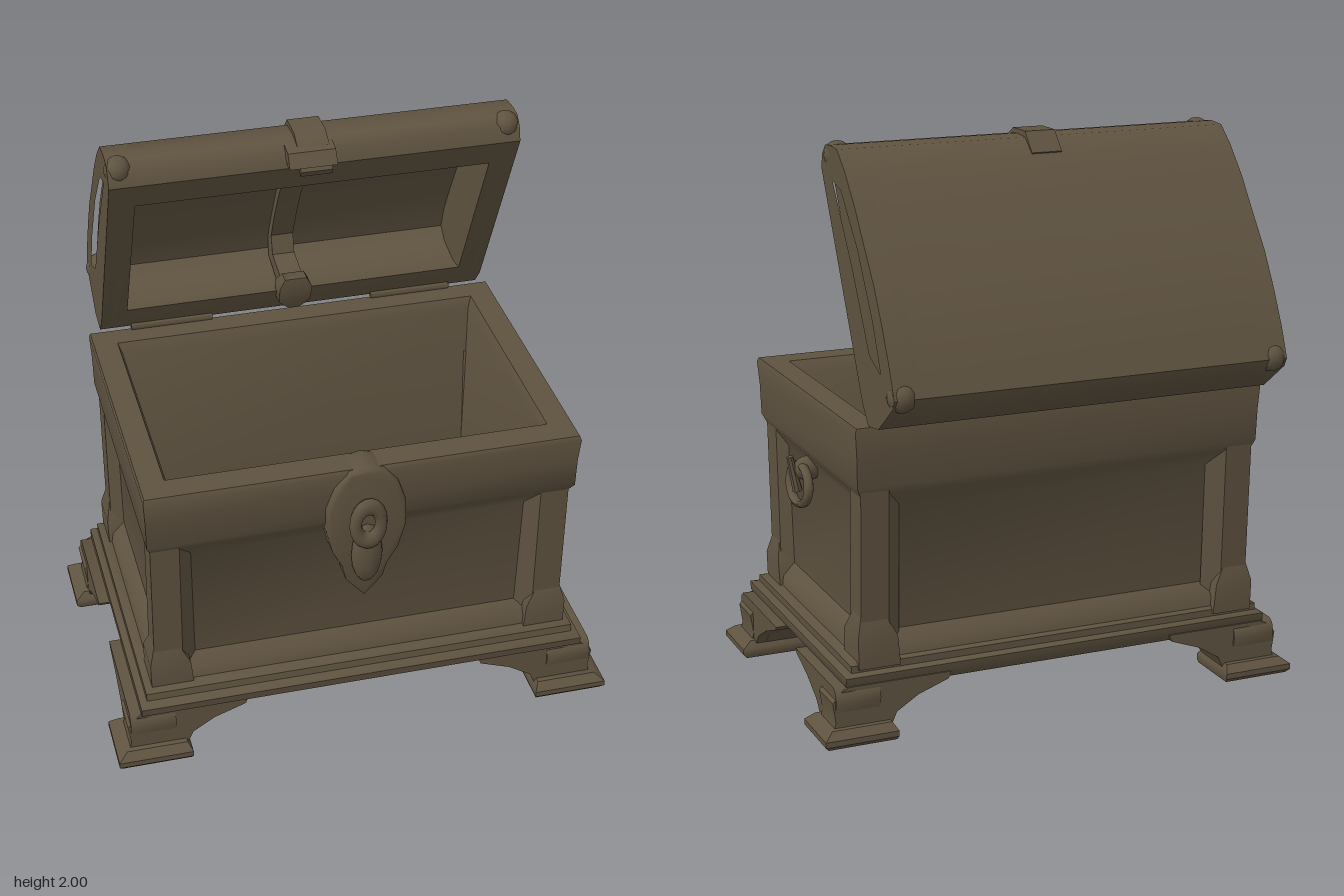
import * as THREE from 'three';
import { toCreasedNormals } from 'three/addons/utils/BufferGeometryUtils.js';

const wood = new THREE.MeshStandardMaterial({ color: 0x5f5340 });
wood.name = 'agedBrown';

function add(group, name, geo, crease = 0.7) {
  const mesh = new THREE.Mesh(toCreasedNormals(geo, crease), wood);
  mesh.name = name;
  group.add(mesh);
  return mesh;
}

// Stack of rectangular rings [x0, x1, z0, z1, y], closed at both ends
function loft(rings) {
  const pos = [], idx = [], n = rings.length;
  for (const [x0, x1, z0, z1, y] of rings) pos.push(x0, y, z1, x1, y, z1, x1, y, z0, x0, y, z0);
  for (let i = 0; i < n - 1; i++) {
    for (let j = 0; j < 4; j++) {
      const a = i * 4 + j, b = i * 4 + (j + 1) % 4;
      idx.push(a, b, b + 4, a, b + 4, a + 4);
    }
  }
  const t = (n - 1) * 4;
  idx.push(0, 2, 1, 0, 3, 2, t, t + 1, t + 2, t, t + 2, t + 3);
  const geo = new THREE.BufferGeometry();
  geo.setAttribute('position', new THREE.Float32BufferAttribute(pos, 3));
  geo.setIndex(idx);
  return geo;
}

// Outline extruded along an axis: 'x' takes [z, y], 'y' takes [x, z], 'z' takes [x, y]
function prism(axis, points, from, to, hole) {
  const conv = (p) => new THREE.Vector2(
    axis === 'x' ? -p[0] : p[0], axis === 'y' ? -p[1] : p[1]);
  const shape = new THREE.Shape(points.map(conv));
  if (hole) shape.holes.push(new THREE.Path(hole.map(conv)));
  const geo = new THREE.ExtrudeGeometry(shape, { depth: to - from, bevelEnabled: false });
  geo.translate(0, 0, from);
  if (axis === 'x') geo.rotateY(Math.PI / 2);
  if (axis === 'y') geo.rotateX(-Math.PI / 2);
  return geo;
}

const ring = (hx, zb, zf, y) => [-hx, hx, zb, zf, y];
const MID = 0.09; // depth of the chest's centre line

function makeBody() {
  const g = new THREE.Group();
  g.name = 'chestBody';
  // Recessed walls, swelling rim and hollow interior
  add(g, 'wallsAndRim', loft([
    ring(0.69, -0.33, 0.52, 0.24), ring(0.695, -0.36, 0.55, 0.8),
    ring(0.735, -0.41, 0.595, 0.86), ring(0.748, -0.42, 0.617, 0.89),
    ring(0.75, -0.425, 0.622, 1.0), ring(0.755, -0.43, 0.632, 1.085), ring(0.75, -0.427, 0.625, 1.1),
    ring(0.665, -0.34, 0.53, 1.1), ring(0.65, -0.32, 0.5, 1.06), ring(0.63, -0.29, 0.48, 0.28),
  ]));
  // Corner posts with sloping inner edges
  for (const sx of [1, -1]) {
    for (const sz of [1, -1]) {
      const post = [[0.735, 0.48], [0.735, 0.375], [0.685, 0.35], [0.6, 0.4], [0.58, 0.43], [0.635, 0.48]];
      const geo = prism('y', post.map(([x, z]) => [sx * x, sz * z]), 0.26, 0.88);
      const p = geo.attributes.position;
      for (let i = 0; i < p.count; i++) { // walls lean out towards the rim
        const lean = (p.getY(i) - 0.26) * 0.04;
        p.setZ(i, p.getZ(i) + MID + sz * lean);
      }
      add(g, 'cornerPost', geo);
      // Swollen foot of the post
      const zz = (a, b) => sz > 0 ? [MID + a, MID + b] : [MID - b, MID - a];
      const xx = (a, b) => sx > 0 ? [a, b] : [-b, -a];
      add(g, 'postFoot', loft([
        [...xx(0.6, 0.75), ...zz(0.35, 0.5), 0.25],
        [...xx(0.61, 0.752), ...zz(0.36, 0.502), 0.36],
        [...xx(0.65, 0.735), ...zz(0.4, 0.482), 0.43],
      ]));
    }
  }
  // Sloping rail below the panels
  add(g, 'bottomRail', loft([
    ring(0.745, -0.39, 0.58, 0.25), ring(0.735, -0.38, 0.57, 0.31), ring(0.685, -0.33, 0.52, 0.36),
  ]));
  return g;
}

function makeBase() {
  const g = new THREE.Group();
  g.name = 'base';
  add(g, 'baseMoulding', loft([
    ring(0.78, -0.4, 0.62, 0.175), ring(0.8, -0.415, 0.65, 0.2), ring(0.8, -0.42, 0.655, 0.23),
    ring(0.775, -0.4, 0.62, 0.24), ring(0.775, -0.4, 0.615, 0.265), ring(0.75, -0.385, 0.585, 0.275),
  ]));
  // Bracket feet: one curved arm along each side, joined over a square pad
  const armX = [[0.42, 0.2], [0.43, 0.175], [0.54, 0.135], [0.62, 0.085], [0.64, 0.04],
    [0.85, 0.04], [0.84, 0.08], [0.85, 0.15], [0.82, 0.185], [0.79, 0.2]];
  const armZ = [[0.12, 0.2], [0.13, 0.185], [0.24, 0.145], [0.34, 0.09], [0.38, 0.04],
    [0.55, 0.04], [0.53, 0.08], [0.55, 0.15], [0.54, 0.185], [0.52, 0.2]];
  for (const sx of [1, -1]) {
    for (const sz of [1, -1]) {
      const foot = new THREE.Group();
      foot.name = 'bracketFoot';
      const c = sz > 0 ? 0.1 : 0.12;
      const Z = (a, b) => sz > 0 ? [c + a, c + b] : [c - b, c - a];
      const X = (a, b) => sx > 0 ? [a, b] : [-b, -a];
      add(foot, 'frontArm', prism('z', armX.map(([x, y]) => [sx * x, y]), ...Z(0.4, 0.54)));
      add(foot, 'sideArm', prism('x', armZ.map(([z, y]) => [c + sz * z, y]), ...X(0.68, 0.84)));
      add(foot, 'innerCorner', loft([
        [...X(0.64, 0.8), ...Z(0.38, 0.5), 0.04], [...X(0.62, 0.8), ...Z(0.33, 0.5), 0.1],
        [...X(0.55, 0.8), ...Z(0.25, 0.5), 0.19],
      ]));
      add(foot, 'footPad', loft([
        [...X(0.635, 0.88), ...Z(0.365, 0.575), 0], [...X(0.63, 0.893), ...Z(0.36, 0.588), 0.015],
        [...X(0.63, 0.893), ...Z(0.36, 0.588), 0.035], [...X(0.645, 0.86), ...Z(0.38, 0.56), 0.06],
      ]));
      g.add(foot);
    }
  }
  return g;
}

function makeLid() {
  const g = new THREE.Group();
  g.name = 'openLid';
  // Domed section, from the front lip over the back to the hinge, as [z, y]
  const outer = [[-0.02, 1.9], [-0.035, 1.95], [-0.065, 1.98], [-0.11, 1.985], [-0.18, 1.98],
    [-0.25, 1.92], [-0.34, 1.82], [-0.42, 1.71], [-0.51, 1.59], [-0.58, 1.47], [-0.64, 1.35],
    [-0.68, 1.25], [-0.665, 1.22], [-0.53, 1.12], [-0.436, 1.107], [-0.385, 1.17]];
  const inner = [[-0.36, 1.22], [-0.43, 1.21], [-0.54, 1.23], [-0.59, 1.27], [-0.56, 1.36], [-0.5, 1.47],
    [-0.43, 1.59], [-0.34, 1.72], [-0.24, 1.84], [-0.17, 1.88], [-0.12, 1.87], [-0.07, 1.8]];
  add(g, 'lidShell', prism('x', [...outer, ...inner], -0.64, 0.64));
  const recess = [[-0.13, 1.87], [-0.21, 1.85], [-0.36, 1.68], [-0.49, 1.47],
    [-0.56, 1.31], [-0.46, 1.35], [-0.31, 1.61]];
  for (const s of [1, -1]) {
    const span = (a, b) => s > 0 ? [a, b] : [-b, -a];
    add(g, 'lidEnd', prism('x', outer, ...span(0.62, 0.675)));
    add(g, 'lidEndRim', prism('x', outer, ...span(0.675, 0.712), recess));
    // Rounded knobs at the lip and lower corners
    for (const [z, y, r] of [[-0.07, 1.945, 0.048], [-0.64, 1.25, 0.05]]) {
      const knob = add(g, 'lidCorner', new THREE.SphereGeometry(r, 12, 8), 1);
      knob.position.set(s * 0.672, y, z);
    }
    // Hinge
    const hinge = add(g, 'hinge', new THREE.CylinderGeometry(0.014, 0.014, 0.3, 10).rotateZ(Math.PI / 2));
    hinge.position.set(s * 0.45, 1.11, -0.425);
  }
  // Strap lining the inside of the dome, ending in a hanging tip
  const strapOut = [[-0.14, 1.88], [-0.24, 1.85], [-0.35, 1.72], [-0.44, 1.59], [-0.51, 1.47], [-0.57, 1.34], [-0.57, 1.25]];
  const strapIn = [[-0.37, 1.2], [-0.36, 1.26], [-0.5, 1.29], [-0.52, 1.36], [-0.47, 1.46], [-0.4, 1.58], [-0.31, 1.71], [-0.21, 1.82], [-0.14, 1.84]];
  add(g, 'innerStrap', prism('x', [...strapOut, ...strapIn], -0.052, 0.03));
  add(g, 'strapTip', loft([
    [-0.03, 0.01, -0.375, -0.345, 1.15], [-0.07, 0.045, -0.385, -0.325, 1.19],
    [-0.07, 0.05, -0.39, -0.31, 1.25], [-0.05, 0.03, -0.36, -0.31, 1.29],
  ]), 1);
  // Clasp folded over the lip
  const clasp = [[-0.24, 1.935], [-0.18, 2.0], [-0.08, 2.0], [-0.02, 1.965], [0.02, 1.9], [0.01, 1.88],
    [-0.03, 1.92], [-0.08, 1.97], [-0.18, 1.97], [-0.23, 1.92]];
  add(g, 'claspPlate', prism('x', clasp, -0.07, 0.04));
  add(g, 'claspBar', prism('x', [[-0.06, 1.975], [0.0, 1.965], [0.03, 1.92], [0.0, 1.915], [-0.05, 1.94]], -0.11, 0.055));
  return g;
}

function makeLock() {
  const g = new THREE.Group();
  g.name = 'lock';
  // Oval plate drawn down to a point
  const half = [[0, 1.1], [0.06, 1.085], [0.11, 1.03], [0.14, 0.95], [0.14, 0.86], [0.115, 0.77],
    [0.075, 0.7], [0.06, 0.64], [0, 0.57]];
  const outline = [...half, ...half.slice(1, -1).reverse().map(([x, y]) => [-x, y])];
  const shape = new THREE.Shape(outline.map(([x, y]) => new THREE.Vector2(x * 0.9, y)));
  const plate = new THREE.ExtrudeGeometry(shape, { depth: 0.09, bevelSize: 0.012, bevelThickness: 0.015, bevelSegments: 2 });
  const p = plate.attributes.position;
  for (let i = 0; i < p.count; i++) p.setZ(i, p.getZ(i) + 0.545 - Math.max(0, 0.8 - p.getY(i)) * 0.12);
  add(g, 'lockPlate', plate, 0.9);
  const loop = add(g, 'lockLoop', new THREE.TorusGeometry(0.045, 0.022, 8, 18).scale(1, 1.55, 1), 1);
  loop.position.set(0, 0.895, 0.662);
  const tongue = add(g, 'lockTongue', new THREE.SphereGeometry(1, 14, 8).scale(0.055, 0.12, 0.03), 1);
  tongue.position.set(0, 0.76, 0.645);
  return g;
}

function makeHandle() {
  const g = new THREE.Group();
  g.name = 'sideHandle';
  const bail = add(g, 'handleRing', new THREE.TorusGeometry(0.1, 0.018, 8, 24).scale(1, 0.7, 1).rotateY(Math.PI / 2), 1);
  bail.rotation.z = 0.12;
  bail.position.set(0.755, 0.745, 0.17);
  const boss = add(g, 'handleBoss', new THREE.SphereGeometry(1, 12, 8).scale(0.06, 0.045, 0.035), 1);
  boss.position.set(0.72, 0.8, 0.17);
  const pin = add(g, 'handlePin', new THREE.CylinderGeometry(0.012, 0.018, 0.13, 8));
  pin.rotation.z = -0.2;
  pin.position.set(0.775, 0.785, 0.17);
  return g;
}

export function createModel() {
  const model = new THREE.Group();
  model.name = 'treasureChest';
  model.add(makeBase(), makeBody(), makeLid(), makeLock(), makeHandle());
  return model;
}
